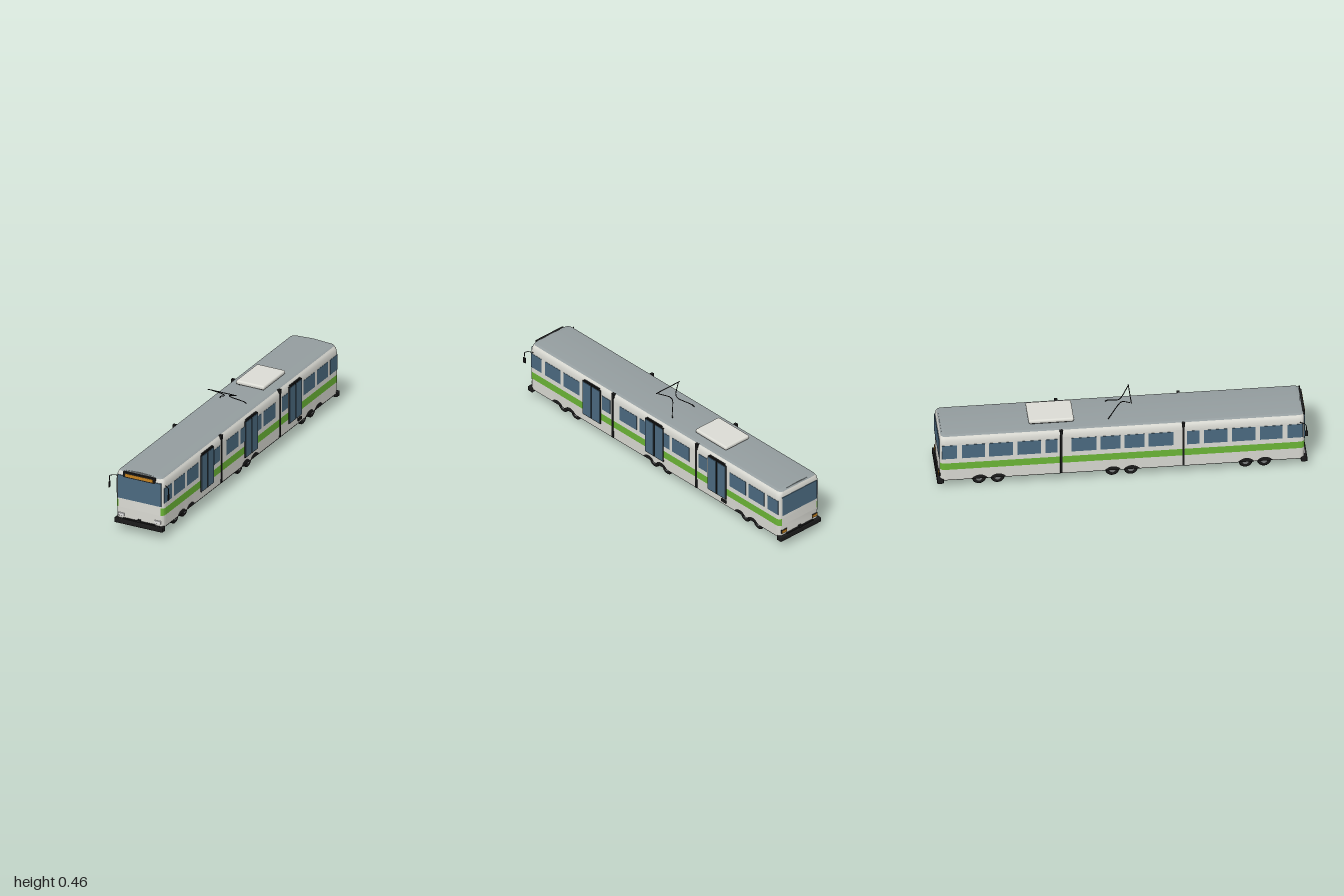
import * as THREE from 'three';
import { toCreasedNormals } from 'three/addons/utils/BufferGeometryUtils.js';
import { RoundedBoxGeometry } from 'three/addons/geometries/RoundedBoxGeometry.js';

const W = 0.146, L = 0.986, R = 0.024;            // half width, half length, corner radius
const AXLES = [0.77, 0.67, 0.05, -0.05, -0.67, -0.77];

function makeMaterials() {
  const colors = {
    paint: 0xdcdcd5, stripe: 0x6bb536, glass: 0x4b6a80, roof: 0x949d9f, rubber: 0x1b1b1b,
    amber: 0xc5811f, hub: 0x77797a, lamp: 0xe6e6e6
  };
  const mats = {};
  for (const [name, color] of Object.entries(colors)) {
    mats[name] = new THREE.MeshStandardMaterial({ color });
    mats[name].name = name;
  }
  return mats;
}

// Rounded-rectangle plan outline at a given inset; y may depend on z
function ring(inset, y, squash = 1) {
  const w = W - inset, l = L - inset * 0.5, pts = [];
  const yAt = typeof y === 'function' ? y : () => y;
  const add = (x, z) => pts.push([x * squash, yAt(z), z]);
  const corner = (sx, sz, a0) => {
    for (let i = 0; i <= 6; i++) {
      const a = a0 + (i / 6) * Math.PI / 2;
      add(sx * (w - R) + R * Math.cos(a), sz * (l - R) + R * Math.sin(a));
    }
  };
  const side = s => {
    for (let i = 1; i < 240; i++) add(s * w, s * (l - R) * (i / 120 - 1));
  };
  side(1);
  corner(1, 1, 0);
  corner(-1, 1, Math.PI / 2);
  side(-1);
  corner(-1, -1, Math.PI);
  corner(1, -1, Math.PI * 1.5);
  return pts;
}

// Skin between successive outlines; keep() picks segments by their middle x
function skin(rings, keep = () => true) {
  const pos = [];
  for (let k = 0; k + 1 < rings.length; k++) {
    const lo = rings[k], hi = rings[k + 1], n = lo.length;
    for (let i = 0; i < n; i++) {
      const j = (i + 1) % n;
      if (!keep((lo[i][0] + lo[j][0]) / 2)) continue;
      pos.push(...lo[i], ...hi[i], ...hi[j], ...lo[i], ...hi[j], ...lo[j]);
    }
  }
  const g = new THREE.BufferGeometry();
  g.setAttribute('position', new THREE.Float32BufferAttribute(pos, 3));
  g.computeVertexNormals();
  return toCreasedNormals(g, 0.6);
}

export function createModel() {
  const group = new THREE.Group();
  group.name = 'tram';
  const m = makeMaterials();

  const mesh = (name, geo, mat, parent = group) => {
    const o = new THREE.Mesh(geo, mat);
    o.name = name;
    parent.add(o);
    return o;
  };
  // Box given by its ranges on each axis
  const box = (name, mat, [x0, x1], [y0, y1], [z0, z1], round = 0) => {
    const s = [x1 - x0, y1 - y0, z1 - z0];
    const geo = round ? new RoundedBoxGeometry(...s, 3, round) : new THREE.BoxGeometry(...s);
    const o = mesh(name, geo, mat);
    o.position.set((x0 + x1) / 2, (y0 + y1) / 2, (z0 + z1) / 2);
    return o;
  };
  const tube = (name, pts, r) => {
    const path = new THREE.CurvePath();
    const v = pts.map(p => new THREE.Vector3(...p));
    for (let i = 0; i + 1 < v.length; i++) path.add(new THREE.LineCurve3(v[i], v[i + 1]));
    return mesh(name, new THREE.TubeGeometry(path, 24, r, 6), m.rubber);
  };

  // Body skin with wheel arches, stripe and rounded shoulders
  const skirt = z => {
    let y = 0.068;
    for (const a of AXLES) {
      const d = 0.052 ** 2 - (z - a) ** 2;
      if (d > 0) y = Math.max(y, 0.038 + Math.sqrt(d));
    }
    return y;
  };
  const shoulder = t => ring(0.026 * (1 - Math.cos(t)), 0.308 + 0.047 * Math.sin(t));
  const sweep = (a, b) => [0, 1, 2, 3, 4].map(i => shoulder(a + (b - a) * i / 4));
  const onStripe = x => Math.abs(x) > 0.126;
  const stripeRings = [ring(0, 0.137), ring(0, 0.18)];
  mesh('lowerBody', skin([ring(0.003, skirt), ring(0, 0.137)]), m.paint);
  mesh('stripe', skin(stripeRings, onStripe), m.stripe);
  mesh('endPanels', skin(stripeRings, x => !onStripe(x)), m.paint);
  mesh('upperBody', skin([ring(0, 0.18), ring(0, 0.308)]), m.paint);
  mesh('shoulders', skin(sweep(0, 1.05)), m.paint);
  mesh('roof', skin([...sweep(1.05, Math.PI / 2), ring(0.026, 0.36, 0)]), m.roof);

  // Underfloor
  box('floor', m.rubber, [-0.139, 0.139], [0.062, 0.12], [-0.975, 0.975]);
  for (const z of [0.72, 0, -0.72]) {
    box('bogieFrame', m.rubber, [-0.07, 0.07], [0.03, 0.065], [z - 0.1, z + 0.1], 0.01);
    const off = z > 0 ? -0.13 : 0.13;
    box('underfloorBox', m.rubber, [-0.11, 0.11], [0.05, 0.065],
      z === 0 ? [-0.11, 0.02] : [z + off - 0.03, z + off + 0.03]);
  }

  // Wheels
  const tyreProfile = [[0.012, -0.014], [0.033, -0.014], [0.0375, -0.01], [0.0375, 0.01], [0.033, 0.014], [0.012, 0.014]]
    .map(p => new THREE.Vector2(...p));
  const tyreGeo = toCreasedNormals(new THREE.LatheGeometry(tyreProfile, 28), 0.6);
  const hubGeo = new THREE.CylinderGeometry(0.017, 0.017, 0.03, 16);
  for (const z of AXLES) {
    for (const s of [1, -1]) {
      const wheel = new THREE.Group();
      wheel.name = 'wheel';
      mesh('tyre', tyreGeo, m.rubber, wheel);
      mesh('hub', hubGeo, m.hub, wheel);
      wheel.rotation.z = Math.PI / 2;
      wheel.position.set(s * 0.089, 0.0375, z);
      group.add(wheel);
    }
    const axle = mesh('axle', new THREE.CylinderGeometry(0.008, 0.008, 0.16, 10), m.rubber);
    axle.rotation.z = Math.PI / 2;
    axle.position.set(0, 0.0375, z);
  }

  // Side windows, mirrored front to back; the left side has doors in some bays
  const bays = [[0.893, 0.975], [0.743, 0.866], [0.592, 0.72], [0.44, 0.567, true], [0.35, 0.415], [0.14, 0.275], [0.01, 0.118]];
  const outer = (s, a, b) => (s > 0 ? [a, b] : [-b, -a]);
  for (const s of [1, -1]) {
    for (const e of [1, -1]) {
      for (const [a, b, door] of bays) {
        if (door && s > 0) continue;
        box('sideWindow', m.glass, outer(s, W - 0.003, W + 0.0015), [0.21, 0.298], outer(e, a, b));
      }
      // Section joints
      box('jointSeal', m.rubber, outer(s, 0.14, 0.149), [0.07, 0.345], [e * 0.33 - 0.006, e * 0.33 + 0.006]);
      box('jointCap', m.rubber, outer(s, 0.132, 0.15), [0.328, 0.352], [e * 0.33 - 0.008, e * 0.33 + 0.008]);
    }
  }

  // Double doors on the left side
  for (const z of [0.495, 0, -0.495]) {
    for (const e of [1, -1]) {
      const span = e > 0 ? [z + 0.002, z + 0.071] : [z - 0.071, z - 0.002];
      box('doorLeaf', m.rubber, [0.14, 0.15], [0.11, 0.325], span);
      box('doorGlass', m.glass, [0.148, 0.153], [0.115, 0.321], [span[0] + 0.003, span[1] - 0.003]);
    }
    box('doorRail', m.rubber, [0.138, 0.15], [0.328, 0.333], [z - 0.06, z + 0.06]);
  }
  box('doorStep', m.rubber, [0.14, 0.15], [0.083, 0.1], [-0.567, -0.53]);

  // Ends: glass, lights and bumpers
  box('windscreen', m.glass, [-0.132, 0.132], [0.191, 0.327], [L - 0.008, L + 0.003]);
  box('rearWindow', m.glass, [-0.125, 0.125], [0.2, 0.318], [-L - 0.003, -L + 0.008]);
  box('signBox', m.rubber, [-0.098, 0.098], [0.32, 0.352], [L - 0.02, L + 0.005]);
  box('signPanel', m.amber, [-0.084, 0.084], [0.326, 0.343], [L, L + 0.007]);
  for (const s of [1, -1]) {
    box('headlight', m.lamp, outer(s, 0.092, 0.131), [0.087, 0.105], [L - 0.006, L + 0.005], 0.003);
    box('tailLightFrame', m.rubber, outer(s, 0.092, 0.131), [0.086, 0.108], [-L - 0.002, -L + 0.006]);
    box('tailLight', m.amber, outer(s, 0.095, 0.128), [0.089, 0.105], [-L - 0.005, -L + 0.004]);
  }
  for (const e of [1, -1]) {
    box('bumper', m.rubber, [-0.148, 0.148], [0.045, 0.074], outer(e, 0.965, 1), 0.005);
    box('bumperLip', m.rubber, [-0.097, 0.097], [0.07, 0.079], outer(e, 0.97, 0.994));
    box('coupler', m.rubber, [-0.01, 0.01], [0.07, 0.088], outer(e, 0.975, 0.997), 0.003);
  }

  // Wing mirrors
  for (const s of [1, -1]) {
    tube('mirrorArm', [[s * 0.14, 0.307, 0.955], [s * 0.165, 0.314, 0.98], [s * 0.18, 0.311, 0.99], [s * 0.182, 0.27, 0.992]], 0.0022);
    box('mirror', m.rubber, outer(s, 0.177, 0.184), [0.243, 0.278], [0.982, 1], 0.003);
  }

  // Roof unit
  box('roofUnitBase', m.rubber, [-0.075, 0.075], [0.352, 0.366], [-0.485, -0.27]);
  box('roofUnit', m.paint, [-0.087, 0.087], [0.362, 0.386], [-0.5, -0.255], 0.01);

  // Current collector
  for (const s of [1, -1]) {
    tube('collectorArm', [[s * 0.08, 0.362, -0.07], [s * 0.073, 0.374, -0.06], [s * 0.023, 0.408, -0.012],
      [s * 0.015, 0.42, 0.002], [s * 0.023, 0.432, 0.016], [s * 0.077, 0.459, 0.053]], 0.0025);
  }
  tube('collectorBar', [[-0.088, 0.46, 0.055], [0.088, 0.46, 0.055]], 0.0025);

  return group;
}
